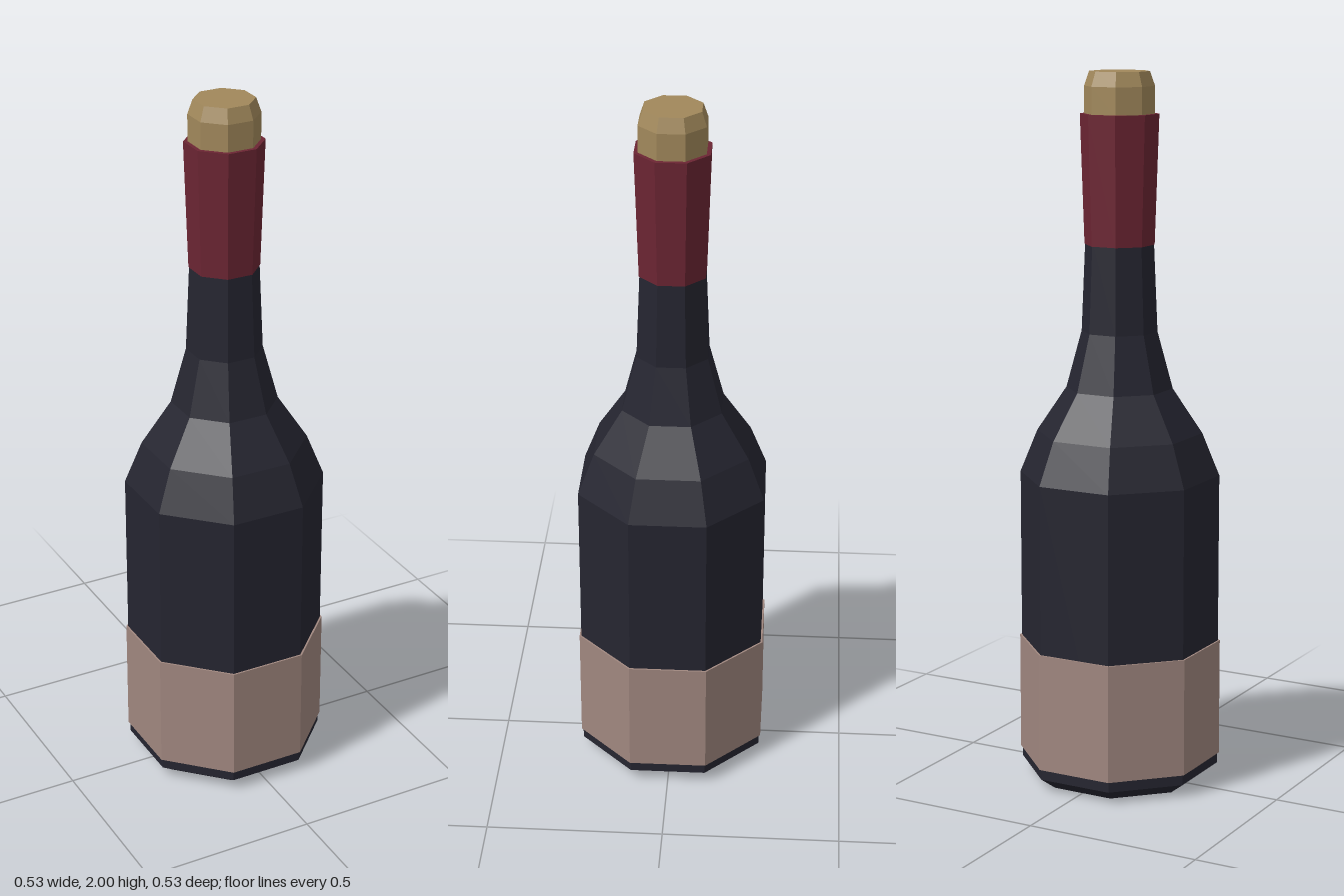
import * as THREE from 'three';

const SIDES = 8;
// profiles give the distance to the flat sides; lathes need the corner radius
const TO_CORNER = 1 / Math.cos(Math.PI / SIDES);

function facetedLathe(name, profile, material) {
  const points = profile.map(([r, y]) => new THREE.Vector2(r * TO_CORNER, y));
  const geometry = new THREE.LatheGeometry(points, SIDES, Math.PI / SIDES).toNonIndexed();
  geometry.computeVertexNormals(); // flat facets
  const mesh = new THREE.Mesh(geometry, material);
  mesh.name = name;
  return mesh;
}

function makeMaterial(name, color) {
  const material = new THREE.MeshStandardMaterial({ color });
  material.name = name;
  return material;
}

export function createModel() {
  const glass = makeMaterial('dark glass', 0x252530);
  const paper = makeMaterial('label paper', 0xa0877f);
  const foil = makeMaterial('red foil', 0x6c2533);
  const corkWood = makeMaterial('cork', 0xa1885b);

  const bottle = new THREE.Group();
  bottle.name = 'bottle';

  bottle.add(
    // closed base, straight body, sloping shoulder and neck
    facetedLathe('glassBody', [
      [0, 0], [0.215, 0], [0.26, 0.035], [0.26, 0.88], [0.215, 1.0],
      [0.138, 1.125], [0.098, 1.285], [0.088, 1.54], [0, 1.54],
    ], glass),
    // band wrapped around the lower body
    facetedLathe('label', [
      [0.258, 0.065], [0.265, 0.065], [0.265, 0.4], [0.258, 0.4],
    ], paper),
    // foil sleeve, slightly flared to the top
    facetedLathe('foilSleeve', [
      [0, 1.527], [0.09, 1.527], [0.101, 1.885], [0, 1.885],
    ], foil),
    // stopper with a bevelled top
    facetedLathe('cork', [
      [0.09, 1.88], [0.09, 1.96], [0.077, 2.0], [0, 2.0],
    ], corkWood),
  );

  return bottle;
}
